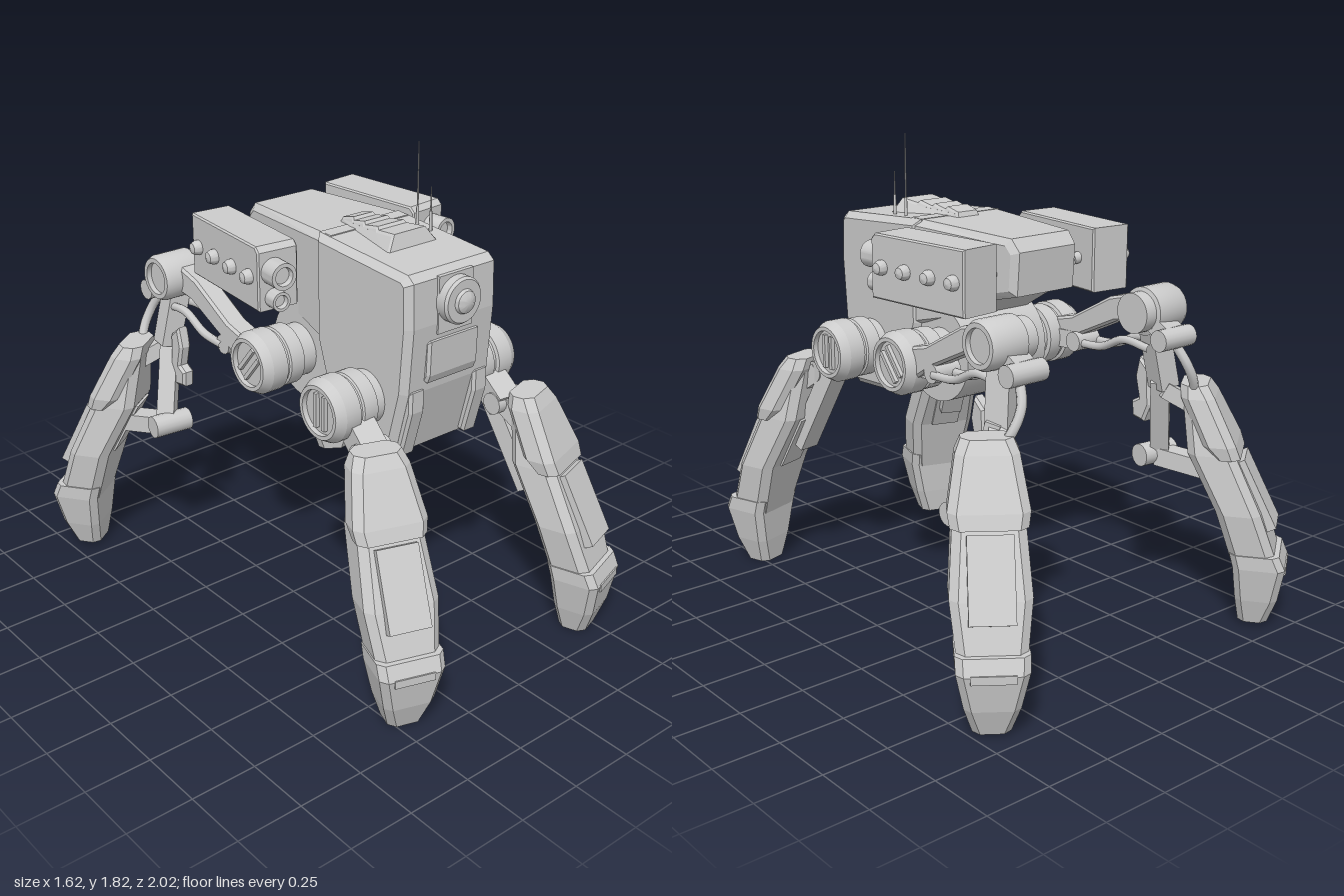
import * as THREE from 'three';
import { toCreasedNormals } from 'three/addons/utils/BufferGeometryUtils.js';

const flat = new THREE.MeshStandardMaterial({ color: 0xcccccc, flatShading: true });
const smooth = new THREE.MeshStandardMaterial({ color: 0xcccccc });
const V = (x, y, z) => new THREE.Vector3(x, y, z);

function add(parent, name, geo, mat = flat, pos = [0, 0, 0]) {
  const m = new THREE.Mesh(geo, mat);
  m.name = name;
  m.position.set(...pos);
  parent.add(m);
  return m;
}
const box = (p, name, size, pos) => add(p, name, new THREE.BoxGeometry(...size), flat, pos);

// Side profile in (z, y), extruded across x and centred
function slab(points, width, bevel = 0.01) {
  const shape = new THREE.Shape(points.map(([z, y]) => new THREE.Vector2(z, y)));
  const depth = width - 2 * bevel;
  const g = new THREE.ExtrudeGeometry(shape, {
    depth, bevelSize: bevel, bevelThickness: bevel, bevelOffset: -bevel, bevelSegments: 1,
  });
  return g.translate(0, 0, -depth / 2).rotateY(-Math.PI / 2);
}

// Scale x by a rule of height and depth
function taper(g, rule) {
  const p = g.attributes.position;
  for (let i = 0; i < p.count; i++) p.setX(i, p.getX(i) * rule(p.getY(i), p.getZ(i)));
  g.computeVertexNormals();
  return g;
}

// Cylinder between two points
function rod(p, name, a, b, r, r2 = r, seg = 16) {
  const d = b.clone().sub(a);
  const m = add(p, name, new THREE.CylinderGeometry(r2, r, d.length(), seg), smooth);
  m.position.copy(a).addScaledVector(d, 0.5);
  m.quaternion.setFromUnitVectors(V(0, 1, 0), d.normalize());
}

// Square bar between two points
function bar(p, name, a, b, w, t) {
  const m = box(p, name, [w, t, a.distanceTo(b)], [0, 0, 0]);
  m.position.copy(a).lerp(b, 0.5);
  m.lookAt(b);
}

// Turned part: profile of [radius, distance] along a direction
function turned(p, name, profile, pos, dir) {
  const g = new THREE.LatheGeometry(profile.map(([r, y]) => new THREE.Vector2(r, y)), 32);
  const m = add(p, name, toCreasedNormals(g, 0.5), smooth, pos);
  m.quaternion.setFromUnitVectors(V(0, 1, 0), dir);
}

const tube = (p, name, pts, r) =>
  add(p, name, new THREE.TubeGeometry(new THREE.CatmullRomCurve3(pts), 20, r, 8), smooth);

// Loft of chamfered rectangles, top to bottom: [y, back z, front z, half width]
function loft(sections, c) {
  const pos = [], idx = [], n = 8;
  for (const [y, b, f, w] of sections) {
    const k = Math.min(c, w * 0.6, (f - b) * 0.4);
    [[-w + k, f], [w - k, f], [w, f - k], [w, b + k], [w - k, b], [-w + k, b], [-w, b + k], [-w, f - k]]
      .forEach(([x, z]) => pos.push(x, y, z));
  }
  const last = (sections.length - 1) * n;
  for (let s = 0; s < last; s += n) {
    for (let i = 0; i < n; i++) {
      const j = (i + 1) % n;
      idx.push(s + i, s + n + i, s + n + j, s + i, s + n + j, s + j);
    }
  }
  for (let i = 1; i < n - 1; i++) idx.push(0, i, i + 1, last, last + i + 1, last + i);
  const g = new THREE.BufferGeometry();
  g.setAttribute('position', new THREE.Float32BufferAttribute(pos, 3));
  g.setIndex(idx);
  g.computeVertexNormals();
  return g;
}

// Armoured lower leg, reaching out along local +z
function lowerLeg(parent, name, x, y, z, yaw) {
  const leg = new THREE.Group();
  leg.name = name;
  leg.position.set(x, y, z);
  leg.rotation.y = yaw;
  parent.add(leg);
  add(leg, 'shin', loft([[0.915, -0.04, 0.04, 0.08], [0.67, -0.005, 0.17, 0.122],
    [0.45, 0.11, 0.275, 0.138], [0.23, 0.18, 0.352, 0.112]], 0.03));
  add(leg, 'upperArmor', loft([[0.925, -0.045, 0.055, 0.088], [0.88, -0.04, 0.085, 0.108],
    [0.71, 0.045, 0.172, 0.138], [0.66, 0.09, 0.19, 0.13]], 0.03));
  add(leg, 'foot', loft([[0.29, 0.165, 0.35, 0.124], [0.235, 0.18, 0.374, 0.122],
    [0.1, 0.192, 0.35, 0.095], [0, 0.205, 0.315, 0.065]], 0.025));
  box(leg, 'toeLip', [0.15, 0.03, 0.03], [0, 0.225, 0.362]);
  box(leg, 'shinPlate', [0.155, 0.29, 0.04], [0, 0.515, 0.25]).rotation.x = -0.46;
  box(leg, 'calfPlate', [0.12, 0.24, 0.03], [0, 0.56, 0.06]).rotation.x = -0.49;
}

// Hip hub with a slotted outer face
function hub(parent, s, y, z, tilt) {
  turned(parent, 'hipHub', [[0, 0.1], [0.1, 0.1], [0.1, 0.25], [0.115, 0.255], [0.115, 0.315], [0.108, 0.32],
    [0.108, 0.33], [0.12, 0.335], [0.12, 0.4], [0.1, 0.435], [0.085, 0.435], [0.085, 0.415], [0, 0.415]],
  [0, y, z], V(s, 0, 0));
  for (const k of [-1, 1]) {
    const off = k * 0.022;
    const b = box(parent, 'hubSlotBar', [0.02, 0.13, 0.016],
      [s * 0.42, y + off * Math.sin(tilt), z + off * Math.cos(tilt)]);
    b.rotation.x = -tilt;
  }
}

function buildBody(root) {
  const body = new THREE.Group();
  body.name = 'body';
  root.add(body);
  // Hull block and narrowing tail
  add(body, 'hull', slab([[0.59, 1.465], [0.595, 1.3], [0.575, 1.05], [0.51, 0.8], [0.2, 0.815], [0.17, 0.88],
    [0.09, 1.12], [0.09, 1.52], [0.56, 1.49]], 0.425, 0.025));
  add(body, 'tail', taper(slab([[0.15, 1.1], [-0.06, 1.15], [-0.27, 1.27], [-0.39, 1.3], [-0.4, 1.46],
    [-0.36, 1.505], [0.15, 1.52]], 0.42, 0.025), (y, z) => 1 - 0.52 * (0.15 - z)));
  // Front plating
  for (const s of [-1, 1]) {
    add(body, 'cornerPlate', slab([[0.5, 1.06], [0.585, 1.06], [0.585, 0.98], [0.535, 0.8], [0.45, 0.8]], 0.07),
      flat, [s * 0.152, 0, 0]);
  }
  add(body, 'chinPlate', slab([[0.5, 1.24], [0.602, 1.24], [0.598, 1.11], [0.585, 1.08], [0.5, 1.08]], 0.24));
  box(body, 'eyeMount', [0.16, 0.21, 0.03], [0, 1.365, 0.585]);
  turned(body, 'eye', [[0.086, -0.06], [0.086, 0.042], [0.078, 0.052], [0.062, 0.052],
    [0.045, 0.052], [0.04, 0.064], [0.022, 0.074], [0, 0.077]], [0, 1.375, 0.59], V(0, 0, 1));
  rod(body, 'centralDrum', V(-0.19, 1.03, 0.005), V(0.19, 1.03, 0.005), 0.19, 0.19, 40);
  // Stepped roof hatch, wide at the front
  add(body, 'roofHatch', taper(slab([[0.02, 1.47], [0.05, 1.535], [0.11, 1.55], [0.12, 1.54], [0.18, 1.553],
    [0.19, 1.543], [0.26, 1.556], [0.27, 1.546], [0.36, 1.555], [0.39, 1.47]], 0.26, 0.008),
  (y, z) => (0.46 + 1.55 * z) * (1 - 5 * (y - 1.47))));
  // Antennas
  for (const [z, top] of [[0.235, 1.82], [0.305, 1.67]]) {
    rod(body, 'antennaBase', V(0.15, 1.48, z), V(0.15, 1.58, z), 0.007, 0.005, 8);
    rod(body, 'antenna', V(0.15, 1.58, z), V(0.15, top, z), 0.0035, 0.002, 6);
  }
}

// Side pod with two barrels, outer knobs and mounting struts
function buildPod(root, s) {
  const pod = new THREE.Group();
  pod.name = 'sidePod';
  pod.position.set(s * 0.335, 1.385, -0.165);
  pod.rotation.y = s * 0.1;
  root.add(pod);
  add(pod, 'podCase', slab([[-0.24, -0.12], [0.235, -0.12], [0.235, 0.1], [0.215, 0.12], [-0.24, 0.12]], 0.165, 0.006));
  for (const [y, r, l] of [[0.025, 0.05, 0.31], [-0.075, 0.036, 0.29]]) {
    turned(pod, 'barrel', [[r, 0.2], [r, l], [r * 0.7, l], [r * 0.62, l - 0.02], [0, l - 0.02]], [s * 0.02, y, 0], V(0, 0, 1));
  }
  for (const z of [-0.19, -0.07, 0.055, 0.175]) {
    turned(pod, 'podKnob', [[0.028, 0], [0.028, 0.015], [0.02, 0.033], [0, 0.04]], [s * 0.08, 0, z], V(s, 0, 0));
  }
  for (const z of [-0.15, -0.03, 0.09]) {
    rod(pod, 'podStrut', V(-s * 0.22, -0.02, z), V(-s * 0.07, 0, z), 0.013);
    rod(pod, 'strutCollar', V(-s * 0.11, -0.005, z), V(-s * 0.07, 0, z), 0.022);
  }
}

function buildFrontLeg(root, s) {
  hub(root, s, 0.99, 0.38, 0);
  bar(root, 'hipArm', V(s * 0.32, 0.95, 0.42), V(s * 0.325, 0.86, 0.56), 0.1, 0.1);
  rod(root, 'hipKnuckle', V(s * 0.26, 0.87, 0.54), V(s * 0.39, 0.87, 0.54), 0.042);
  bar(root, 'innerStrut', V(s * 0.325, 0.87, 0.48), V(s * 0.38, 0.54, 0.66), 0.09, 0.07);
  bar(root, 'legBracket', V(s * 0.33, 0.87, 0.54), V(s * 0.37, 0.8, 0.64), 0.1, 0.07);
  lowerLeg(root, 'frontLeg', s * 0.372, 0, 0.612, s * 0.32);
}

function buildRearLeg(root, s) {
  hub(root, s, 1.03, -0.03, -0.7);
  // Upper arm from hub to knee
  add(root, 'upperArm', slab([[0, 1.08], [-0.2, 1.13], [-0.4, 1.24], [-0.55, 1.28], [-0.56, 1.17], [-0.43, 1.15],
    [-0.24, 1.06], [-0.1, 0.97], [0, 0.98]], 0.09), flat, [s * 0.355, 0, 0]);
  bar(root, 'armFoot', V(s * 0.34, 1.03, -0.08), V(s * 0.34, 1.035, -0.24), 0.07, 0.07);
  rod(root, 'armPin', V(s * 0.29, 1.035, -0.23), V(s * 0.4, 1.035, -0.23), 0.038);
  for (const x of [0.315, 0.395]) {
    tube(root, 'armHose', [V(s * x, 1.03, -0.24), V(s * x, 1.04, -0.36), V(s * x, 1.09, -0.48), V(s * x, 1.08, -0.61)], 0.016);
  }
  // Knee
  turned(root, 'knee', [[0, 0.26], [0.075, 0.26], [0.075, 0.31], [0.09, 0.315], [0.09, 0.445], [0.08, 0.465],
    [0.062, 0.465], [0.062, 0.445], [0, 0.445]], [0, 1.215, -0.57], V(s, 0, 0));
  rod(root, 'kneePin', V(s * 0.28, 1.13, -0.685), V(s * 0.44, 1.13, -0.685), 0.04);
  bar(root, 'kneeBracket', V(s * 0.36, 1.2, -0.58), V(s * 0.36, 1.13, -0.68), 0.1, 0.06);
  // Linkage from knee down to the lower leg
  bar(root, 'linkUpper', V(s * 0.36, 1.18, -0.59), V(s * 0.4, 0.92, -0.6), 0.085, 0.08);
  bar(root, 'linkLower', V(s * 0.4, 0.95, -0.6), V(s * 0.465, 0.63, -0.53), 0.07, 0.055);
  add(root, 'linkHook', slab([[-0.5, 1.02], [-0.48, 0.94], [-0.5, 0.86], [-0.465, 0.84], [-0.47, 0.78], [-0.53, 0.77],
    [-0.56, 0.84], [-0.55, 0.98]], 0.05), flat, [s * 0.4, 0, 0]);
  tube(root, 'legHose', [V(s * 0.37, 1.12, -0.67), V(s * 0.4, 1.03, -0.72), V(s * 0.44, 0.95, -0.72), V(s * 0.48, 0.86, -0.67)], 0.018);
  rod(root, 'linkPin', V(s * 0.395, 0.625, -0.5), V(s * 0.55, 0.625, -0.515), 0.044);
  bar(root, 'legBracket', V(s * 0.485, 0.62, -0.52), V(s * 0.56, 0.59, -0.74), 0.08, 0.07);
  bar(root, 'legTopBracket', V(s * 0.4, 0.92, -0.61), V(s * 0.49, 0.84, -0.69), 0.06, 0.06);
  lowerLeg(root, 'rearLeg', s * 0.505, 0.015, -0.665, s * (Math.PI - 0.63));
}

export function createModel() {
  const root = new THREE.Group();
  root.name = 'walker';
  // The body sits slightly to one side of the overall centre
  const walker = new THREE.Group();
  walker.name = 'chassis';
  walker.position.x = 0.01;
  root.add(walker);
  buildBody(walker);
  for (const s of [-1, 1]) {
    buildPod(walker, s);
    buildFrontLeg(walker, s);
    buildRearLeg(walker, s);
  }
  return root;
}
